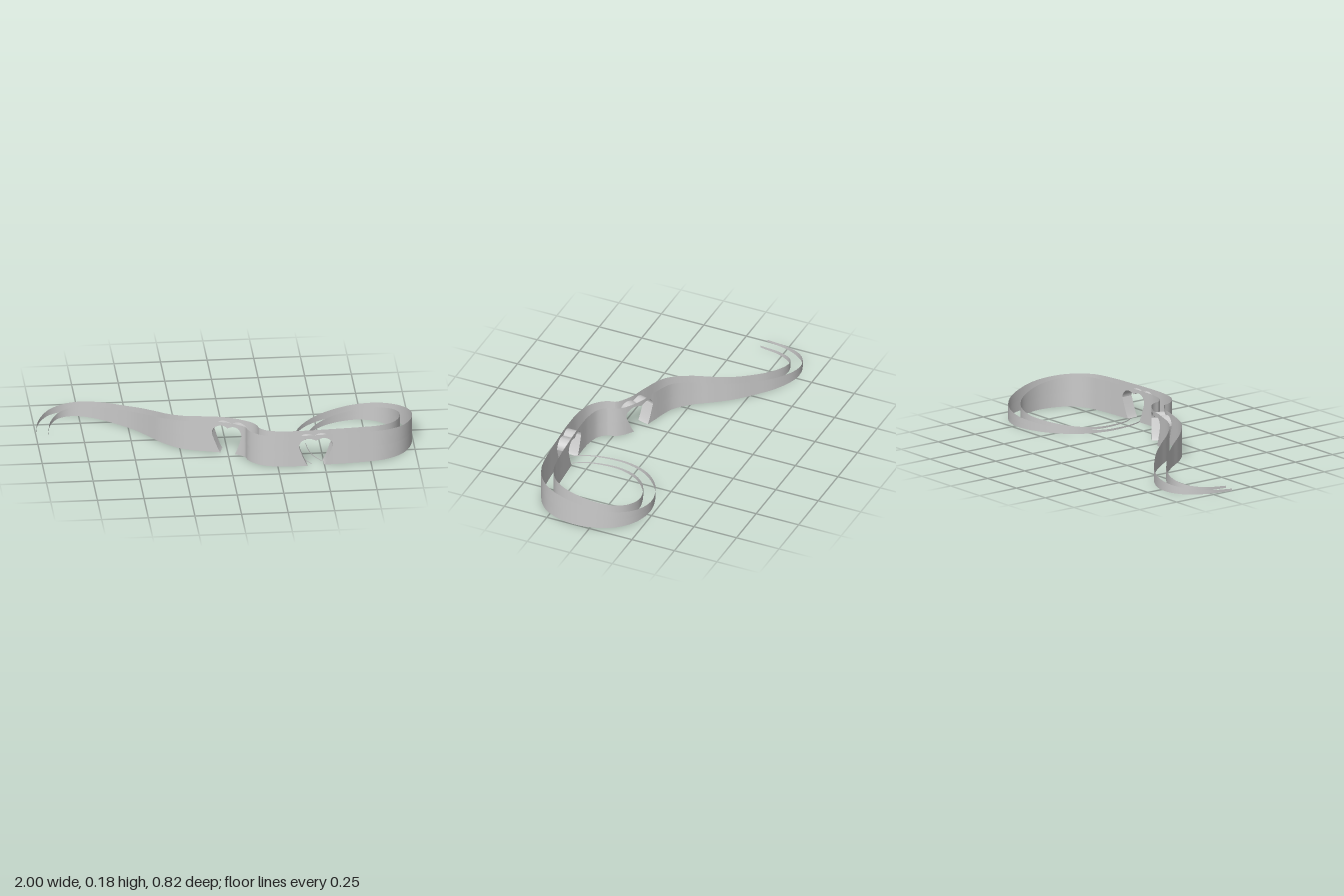
import * as THREE from 'three';

// Centre line stations: x, z, wall height, from the tail to the end of the curl
const STATIONS = [
  [-0.967, -0.12, 0.012], [-0.942, -0.25, 0.02], [-0.888, -0.34, 0.033], [-0.82, -0.375, 0.045],
  [-0.74, -0.373, 0.057], [-0.635, -0.325, 0.07], [-0.54, -0.25, 0.084], [-0.455, -0.17, 0.102],
  [-0.387, -0.085, 0.121], [-0.315, 0.015, 0.144], [-0.22, 0.1, 0.165], [-0.07, 0.15, 0.177],
  [0.012, 0.175, 0.177], [0.092, 0.223, 0.176], [0.118, 0.253, 0.176], [0.133, 0.3, 0.176],
  [0.185, 0.35, 0.176], [0.27, 0.373, 0.176], [0.365, 0.376, 0.176], [0.4525, 0.373, 0.176],
  [0.54, 0.367, 0.176], [0.7, 0.354, 0.175], [0.815, 0.332, 0.172], [0.898, 0.278, 0.165],
  [0.947, 0.195, 0.156], [0.965, 0.08, 0.14], [0.944, -0.03, 0.116], [0.9, -0.11, 0.096],
  [0.825, -0.17, 0.078], [0.72, -0.195, 0.06], [0.61, -0.172, 0.046], [0.515, -0.12, 0.034],
  [0.437, -0.035, 0.022], [0.395, 0.08, 0.013], [0.396, 0.2, 0.009], [0.42, 0.3, 0.006],
  [0.46, 0.37, 0.004],
];
const HALF_GAP = 0.033;
const HEART_HALF_WIDTH = 0.09;
const HEART_CENTRES = [[0.012, 0.175], [0.4525, 0.373]];

const material = new THREE.MeshStandardMaterial({ color: 0xcccccc, side: THREE.DoubleSide });

// Heart outline; q runs from 0 at the middle to 1 at the widest point
const heartTop = (q) => q > 0.45
  ? 0.11 + 0.047 * Math.sqrt(Math.max(0, 1 - ((q - 0.45) / 0.55) ** 2))
  : 0.144 + 0.013 * Math.sin((q / 0.45) * Math.PI / 2);
const heartBottom = (q) => q > 0.5 ? 0.11 * ((q - 0.5) / 0.5) ** 1.25 : 0;

function nearestU(curve, [x, z]) {
  let best = 0, bestDistance = Infinity;
  for (let i = 0; i <= 3000; i++) {
    const p = curve.getPointAt(i / 3000);
    const d = Math.hypot(p.x - x, p.z - z);
    if (d < bestDistance) { bestDistance = d; best = i / 3000; }
  }
  return best;
}

// One column: plan position, sideways direction, wall height and opening
function makeColumn(curve, u, q) {
  const p = curve.getPointAt(u);
  const t = curve.getTangentAt(u);
  const len = Math.hypot(t.x, t.z);
  const h = Math.max(p.y, 0.004);
  const inHeart = q !== undefined;
  return {
    at: (side, y) => [p.x - side * HALF_GAP * t.z / len, y, p.z + side * HALF_GAP * t.x / len],
    h,
    low: inHeart ? heartBottom(q) : h / 2,
    high: inHeart ? heartTop(q) : h / 2,
  };
}

// Surface through rows of equal length; keep() can leave out quads
function skin(rows, flip, keep = () => true) {
  const n = rows[0].length;
  const index = [];
  for (let i = 0; i < rows.length - 1; i++) {
    for (let j = 0; j < n - 1; j++) {
      if (!keep(j)) continue;
      const a = i * n + j, b = a + n, c = b + 1, d = a + 1;
      index.push(...(flip ? [a, c, b, a, d, c] : [a, b, c, a, c, d]));
    }
  }
  const geometry = new THREE.BufferGeometry();
  geometry.setAttribute('position', new THREE.Float32BufferAttribute(rows.flat(2), 3));
  geometry.setIndex(index);
  geometry.computeVertexNormals();
  return geometry;
}

export function createModel() {
  const group = new THREE.Group();
  const add = (name, geometry) => {
    const mesh = new THREE.Mesh(geometry, material);
    mesh.name = name;
    group.add(mesh);
  };

  const curve = new THREE.CatmullRomCurve3(
    STATIONS.map(([x, z, h]) => new THREE.Vector3(x, h, z)), false, 'centripetal');
  curve.arcLengthDivisions = 2000;
  const halfU = HEART_HALF_WIDTH / curve.getLength();
  const centres = HEART_CENTRES.map((c) => nearestU(curve, c));

  // Columns across each heart, closer together near its sides
  const HEART_STEPS = 48;
  const hearts = centres.map((centre) => Array.from({ length: HEART_STEPS + 1 }, (_, i) => {
    const s = Math.sin((i / HEART_STEPS - 0.5) * Math.PI);
    return makeColumn(curve, centre + s * halfU, Math.min(1, Math.abs(s)));
  }));

  // Plain columns between the hearts
  const plain = (from, to, steps) => Array.from({ length: steps + 1 },
    (_, i) => makeColumn(curve, from + (to - from) * i / steps));
  const columns = [
    ...plain(0, centres[0] - halfU, 90), ...hearts[0],
    ...plain(centres[0] + halfU, centres[1] - halfU, 40), ...hearts[1],
    ...plain(centres[1] + halfU, 1, 130),
  ];

  // Two parallel upright walls with the hearts left open
  for (const [name, side] of [['frontWall', 1], ['backWall', -1]]) {
    const rows = columns.map((c) => [0, c.low, c.high, c.h].map((y) => c.at(side, y)));
    add(name, skin(rows, side < 0, (j) => j !== 1));
  }

  // Heart tunnels joining the walls: arched roof and two lower flanks
  hearts.forEach((heart, i) => {
    const span = (cols, key) => cols.map((c) => [c.at(1, c[key]), c.at(-1, c[key])]);
    const label = i === 0 ? 'middleHeart' : 'curlHeart';
    add(label + 'Roof', skin(span(heart, 'high'), true));
    const third = HEART_STEPS / 3;
    add(label + 'RightFlank', skin(span(heart.slice(0, third + 1), 'low'), false));
    add(label + 'LeftFlank', skin(span(heart.slice(HEART_STEPS - third), 'low'), false));
  });

  return group;
}
